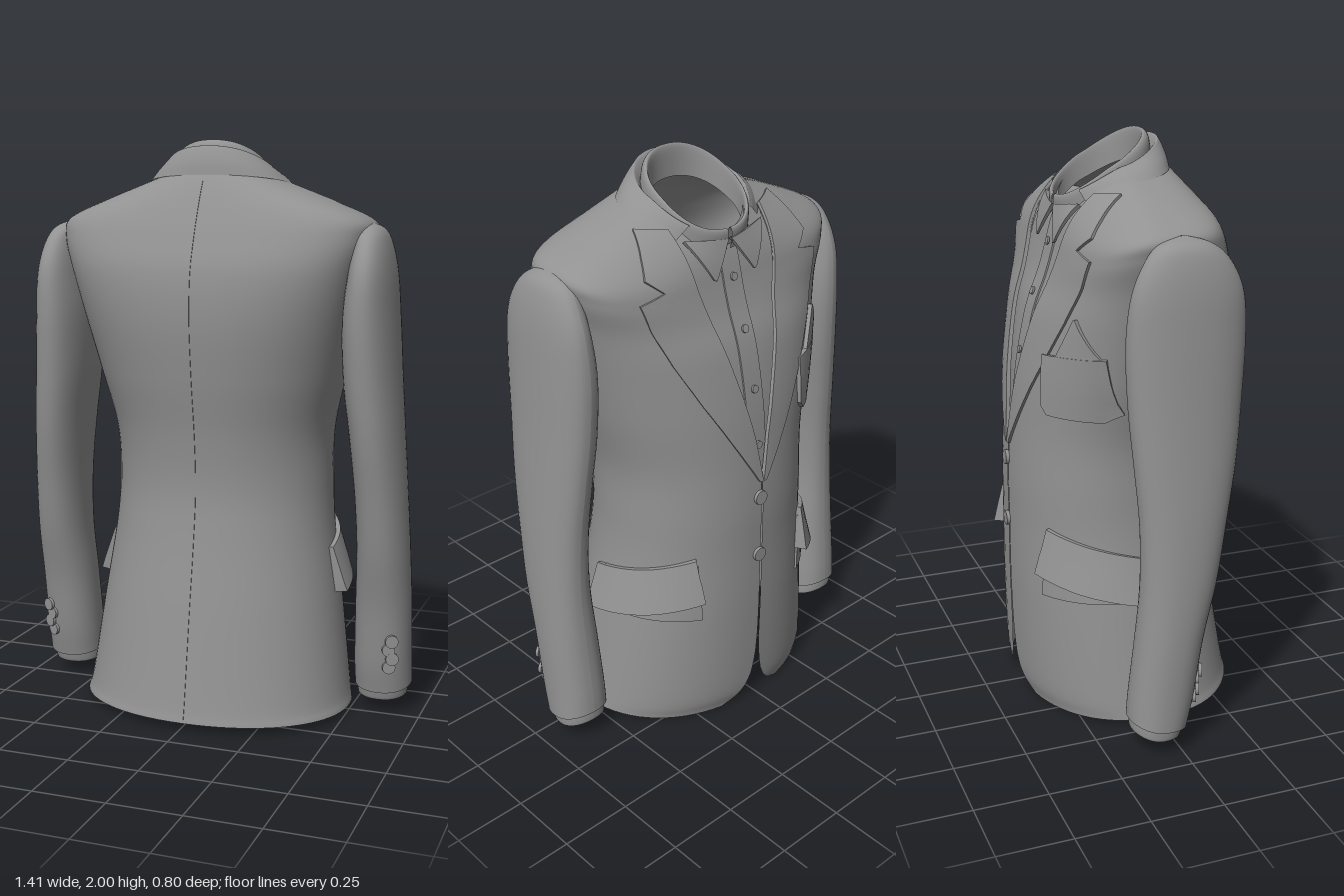
import * as THREE from 'three';
import { toCreasedNormals } from 'three/addons/utils/BufferGeometryUtils.js';

const cloth = new THREE.MeshStandardMaterial({ color: 0x929292, side: THREE.DoubleSide });

// Indexed grid surface from a function (i, j) -> [x, y, z]
function grid(nu, nv, fn) {
  const pos = [], idx = [];
  for (let j = 0; j <= nv; j++) for (let i = 0; i <= nu; i++) pos.push(...fn(i, j));
  for (let j = 0; j < nv; j++) for (let i = 0; i < nu; i++) {
    const a = j * (nu + 1) + i, b = a + 1, c = a + nu + 1, d = c + 1;
    idx.push(a, c, b, b, c, d);
  }
  const g = new THREE.BufferGeometry();
  g.setAttribute('position', new THREE.Float32BufferAttribute(pos, 3));
  g.setIndex(idx);
  g.computeVertexNormals();
  return g;
}

function add(parent, name, geo) {
  const m = new THREE.Mesh(geo, cloth);
  m.name = name;
  parent.add(m);
  return m;
}

// Smooth loft through rings [halfWidth, ySide, zBack, yBack, zFront, yFront, centreX].
// Angle 0 is the chest side (-z); range(halfWidth, yFront, e) gives the angles covered.
// e(v) sets how square the section is; tilt shapes the rise from side to front and back.
function loft(rings, { e = () => 0.9, tilt = 1.4, nu = 72, nv = 70, inset = 0, v0 = 0, range = () => [0, Math.PI * 2] } = {}) {
  const curve = (f) => new THREE.CatmullRomCurve3(rings.map(f), false, 'catmullrom');
  const A = curve(r => new THREE.Vector3(r[0] - inset, r[1], r[2] - inset));
  const B = curve(r => new THREE.Vector3(r[3], r[4] + inset, r[5]));
  const C = curve(r => new THREE.Vector3(r[6] || 0, 0, 0));
  return grid(nu, nv, (i, j) => {
    const v = v0 + (1 - v0) * j / nv, a = A.getPoint(v), b = B.getPoint(v), p = e(v);
    const [t0, t1] = range(a.x, b.z, p);
    const t = t0 + (t1 - t0) * i / nu, s = Math.sin(t), c = Math.cos(t);
    const zc = (a.z + b.y) / 2;
    return [C.getPoint(v).x + a.x * Math.sign(s) * Math.abs(s) ** p,
      a.y + ((c > 0 ? b.z : b.x) - a.y) * Math.abs(c) ** tilt,
      zc + ((c > 0 ? b.y : a.z) - zc) * Math.abs(c) ** p];
  });
}

// Padded patch draped on a target; rows are [a, yA, b, yB, offset].
// a and b are x positions, or angles round the body when radial.
const ray = new THREE.Raycaster();
function drape(target, rows, { radial = false, nu = 10, sub = 5 } = {}) {
  const n = (rows.length - 1) * sub;
  const g = grid(nu + 2, n + 2, (i, j) => {
    const u = THREE.MathUtils.clamp((i - 1) / nu, 0, 1);
    const f = THREE.MathUtils.clamp(j - 1, 0, n) / sub, k = Math.min(Math.floor(f), rows.length - 2);
    const r = rows[k].map((q, m) => q + (rows[k + 1][m] - q) * (f - k));
    const edge = i === 0 || j === 0 || i === nu + 2 || j === n + 2;
    const h = surface(target, r[0] + (r[2] - r[0]) * u, r[1] + (r[3] - r[1]) * u, radial);
    return h.point.addScaledVector(h.normal, edge ? -0.004 : r[4]).toArray();
  });
  return toCreasedNormals(g, 0.6);
}

function surface(target, p, y, radial = false) {
  const o = radial ? new THREE.Vector3(3 * Math.sin(p), y, -3 * Math.cos(p)) : new THREE.Vector3(p, y, -3);
  const d = radial ? new THREE.Vector3(-o.x, 0, -o.z).normalize() : new THREE.Vector3(0, 0, 1);
  ray.set(o, d);
  const hit = ray.intersectObject(target)[0];
  if (!hit) return { point: new THREE.Vector3(p, y, -0.12), normal: new THREE.Vector3(0, 0, -1) };
  const normal = hit.face.normal.clone();
  if (normal.dot(d) > 0) normal.negate();
  return { point: hit.point.clone(), normal };
}

// Small round button facing along a normal
function button(parent, name, point, normal, r) {
  const b = add(parent, name, new THREE.CylinderGeometry(r, r, r * 0.5, 16));
  b.position.copy(point).addScaledVector(normal, r * 0.2);
  b.quaternion.setFromUnitVectors(new THREE.Vector3(0, 1, 0), normal);
}

const flat = (w, y, zb, zf, cx) => [w, y, zb, y, zf, y, cx];

const BODY = [
  [0.49, 0.025, 0.40, 0.03, -0.36, 0], flat(0.475, 0.1, 0.385, -0.38), flat(0.435, 0.4, 0.335, -0.39),
  flat(0.40, 0.65, 0.29, -0.39), flat(0.39, 0.82, 0.27, -0.39), flat(0.395, 1, 0.28, -0.38),
  flat(0.44, 1.2, 0.31, -0.36), flat(0.485, 1.4, 0.33, -0.32),
  [0.518, 1.55, 0.32, 1.56, -0.275, 1.52], [0.55, 1.665, 0.28, 1.68, -0.25, 1.6],
  [0.545, 1.73, 0.245, 1.76, -0.235, 1.66], [0.41, 1.795, 0.215, 1.82, -0.22, 1.71],
  [0.28, 1.845, 0.185, 1.87, -0.205, 1.75], [0.20, 1.875, 0.16, 1.9, -0.2, 1.77],
];
// Rounder at the hem and neck, squarer across the shoulders
const bodySquare = (v) => 0.94 - 0.3 * Math.exp(-(((v - 0.7) / 0.18) ** 2));

const SLEEVE = [
  [0.1, 0.1, 0.03, 0.085, -0.17, 0.125, 0.603], flat(0.1, 0.2, 0.055, -0.165, 0.603), flat(0.097, 0.4, 0.085, -0.145, 0.607),
  flat(0.09, 0.6, 0.13, -0.13, 0.61), flat(0.087, 0.8, 0.165, -0.13, 0.603), flat(0.088, 1, 0.2, -0.145, 0.588),
  flat(0.092, 1.2, 0.222, -0.16, 0.57), flat(0.088, 1.4, 0.235, -0.165, 0.562), flat(0.074, 1.55, 0.225, -0.15, 0.565),
  flat(0.058, 1.65, 0.18, -0.11, 0.563), flat(0.042, 1.705, 0.12, -0.06, 0.553), flat(0.002, 1.73, 0.04, 0.02, 0.54),
];

// Half width of the front opening: rounded hem corners, closed waist, open V
const GAP = [[0, 0.14], [0.03, 0.08], [0.07, 0.045], [0.12, 0.022], [0.2, 0.008], [0.3, 0.003], [0.93, 0.003],
  [1.1, 0.034], [1.4, 0.114], [1.6, 0.168], [1.77, 0.196]];
function gapAt(y) {
  for (let k = 1; k < GAP.length; k++) if (y <= GAP[k][0]) {
    const [a, b] = [GAP[k - 1], GAP[k]];
    return a[1] + (b[1] - a[1]) * Math.max(0, (y - a[0]) / (b[0] - a[0]));
  }
  return 0.196;
}
const angleOf = (x, w, e) => Math.asin(Math.min(1, x / w) ** (1 / e));

export function createModel() {
  const model = new THREE.Group();
  model.name = 'suitJacket';
  const body = new THREE.Group();
  body.name = 'body';
  model.add(body);

  // Closed torso used only as the form to drape parts on
  const form = new THREE.Mesh(loft(BODY, { e: bodySquare }), cloth);

  // Jacket shell with the front opening, and the shirt front behind it
  add(body, 'jacketShell', loft(BODY, {
    e: bodySquare, nv: 110, range: (w, y, e) => { const t = angleOf(gapAt(y), w, e); return [t, Math.PI * 2 - t]; },
  }));
  const shirt = add(body, 'shirtFront', loft(BODY, {
    e: bodySquare, nu: 28, nv: 40, inset: 0.022, v0: 0.36,
    range: (w, y, e) => { const t = angleOf(0.23, w, e); return [-t, t]; },
  }));
  add(body, 'shirtPlacket', drape(shirt, [[-0.04, 0.96, 0.04, 0.96, 0.006], [-0.04, 1.73, 0.04, 1.73, 0.006]], { sub: 24 }));
  for (const y of [1.06, 1.26, 1.46, 1.63]) {
    const h = surface(shirt, 0, y);
    button(body, 'shirtButton', h.point.addScaledVector(h.normal, 0.01), h.normal, 0.014);
  }
  // Raised centre seam down the back
  add(body, 'backSeam', drape(form, [
    [Math.PI - 0.008, 0.035, Math.PI + 0.008, 0.035, 0.003], [Math.PI - 0.012, 1.86, Math.PI + 0.012, 1.86, 0.003],
  ], { radial: true, nu: 2, sub: 50 }));

  // Shirt collar band, open at the throat, then the jacket collar around it
  add(body, 'shirtCollar', loft([
    [0.178, 1.81, 0.125, 1.9, -0.205, 1.72], [0.174, 1.88, 0.118, 1.975, -0.212, 1.77],
    [0.167, 1.9, 0.1, 2, -0.207, 1.79], [0.159, 1.89, 0.088, 1.985, -0.195, 1.78], [0.155, 1.81, 0.085, 1.89, -0.19, 1.71],
  ], { tilt: 1, nv: 20, range: () => [0.03, Math.PI * 2 - 0.03] }));
  add(body, 'jacketCollar', loft([
    [0.255, 1.853, 0.178, 1.882, -0.2, 1.75], [0.228, 1.878, 0.17, 1.925, -0.205, 1.765],
    [0.2, 1.893, 0.153, 1.968, -0.21, 1.785], [0.187, 1.895, 0.14, 1.978, -0.205, 1.787], [0.168, 1.85, 0.115, 1.94, -0.195, 1.75],
  ], { tilt: 1.1, nv: 20, range: () => [0.75, Math.PI * 2 - 0.75] }));

  for (const s of [-1, 1]) {
    const side = s > 0 ? 'left' : 'right';

    // Notched lapel, from the waist button up to the collar
    const lapel = [[0.93, 0, 0.015], [1.1, 0.03, 0.125], [1.25, 0.068, 0.22], [1.4, 0.11, 0.305], [1.52, 0.143, 0.36],
      [1.61, 0.168, 0.39], [1.64, 0.175, 0.3], [1.68, 0.182, 0.355], [1.74, 0.19, 0.33], [1.81, 0.2, 0.295]];
    add(body, side + 'Lapel', drape(form, lapel.map(([y, a, b]) => [s * a, y, s * b, y + (b - a) * 0.1, 0.01])));

    // Shirt collar point
    add(body, side + 'CollarPoint', drape(form, [
      [s * 0.085, 1.64, s * 0.095, 1.645, 0.004], [s * 0.006, 1.755, s * 0.17, 1.775, 0.01],
    ]));

    // Slanted hip pocket: patch with a flap that stands away at its lower edge
    add(body, side + 'HipPocket', drape(form, [
      [s * 0.6, 0.44, s * 1.5, 0.45, 0.008], [s * 0.64, 0.66, s * 1.5, 0.6, 0.008],
    ], { radial: true, nu: 14 }));
    add(body, side + 'PocketFlap', drape(form, [
      [s * 0.6, 0.53, s * 1.58, 0.43, 0.045], [s * 0.66, 0.69, s * 1.58, 0.59, 0.016],
    ], { radial: true, nu: 14 }));

    // Sleeve with the shirt cuff showing below
    const arm = new THREE.Group();
    arm.name = side + 'Sleeve';
    arm.position.x = 0.004;
    model.add(arm);
    const mirrored = (rings) => rings.map(r => [...r.slice(0, 6), s * r[6]]);
    add(arm, 'sleeve', loft(mirrored(SLEEVE), { nu: 40, nv: 60 }));
    add(arm, 'shirtCuff', loft(mirrored([
      [0.08, 0.065, 0, 0.06, -0.15, 0.085, 0.598], [0.088, 0.07, 0.012, 0.062, -0.16, 0.09, 0.6],
      [0.09, 0.2, 0.04, 0.2, -0.155, 0.2, 0.603],
    ]), { nu: 40, nv: 10 }));
    for (let k = 0; k < 4; k++) {
      button(arm, 'cuffButton', new THREE.Vector3(s * (0.645 + 0.012 * (k % 2)), 0.19 + k * 0.033, 0.045 + k * 0.005),
        new THREE.Vector3(s * 0.4, 0, 0.9).normalize(), 0.023);
    }
  }

  // Breast pocket with a folded pocket square
  add(body, 'breastPocket', drape(form, [
    [-0.25, 1.1, -0.39, 1.1, 0.014], [-0.225, 1.13, -0.415, 1.13, 0.014], [-0.22, 1.3, -0.425, 1.32, 0.016],
  ]));
  add(body, 'pocketSquare', drape(form, [[-0.28, 1.3, -0.415, 1.32, 0.014], [-0.345, 1.44, -0.35, 1.44, 0.014]]));

  // Jacket buttons
  for (const y of [0.87, 0.64]) {
    const h = surface(form, 0.012, y);
    button(body, 'jacketButton', h.point, h.normal, 0.026);
  }

  body.position.x = 0.014;
  return model;
}
